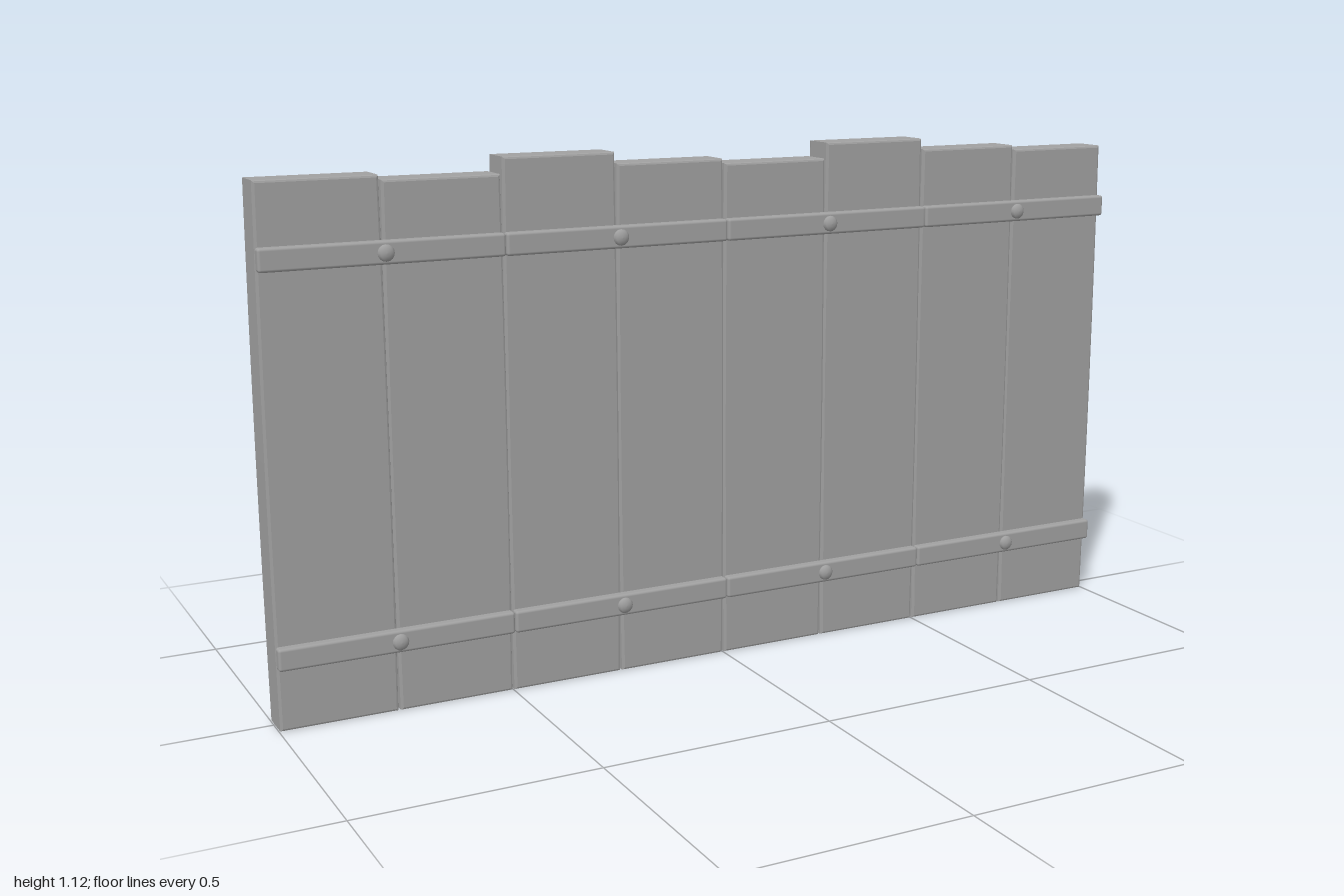
import * as THREE from 'three';
import { RoundedBoxGeometry } from 'three/addons/geometries/RoundedBoxGeometry.js';

const grey = new THREE.MeshStandardMaterial({ color: 0xa0a0a0 });
grey.name = 'plain grey';

export function createModel() {
  const group = new THREE.Group();
  group.name = 'plankPanel';

  const add = (name, geometry, x, y, z) => {
    const mesh = new THREE.Mesh(geometry, grey);
    mesh.name = name;
    mesh.position.set(x, y, z);
    group.add(mesh);
    return mesh;
  };
  // Box with softened edges, spanning z0 to z1
  const bar = (name, w, h, z0, z1, x, y, r = 0.004) =>
    add(name, new RoundedBoxGeometry(w, h, z1 - z0, 2, r), x, y, (z0 + z1) / 2);

  // Upright planks: slightly barrelled sides, so seams open towards the ends
  const bevel = 0.005;
  const plankGeometry = (height) => {
    const end = 0.1225 - bevel, bulge = 0.1285 - bevel;
    const top = height - bevel, mid = height / 2;
    const shape = new THREE.Shape();
    shape.moveTo(-end, bevel);
    shape.lineTo(end, bevel);
    shape.quadraticCurveTo(bulge, mid, end, top);
    shape.lineTo(-end, top);
    shape.quadraticCurveTo(-bulge, mid, -end, bevel);
    return new THREE.ExtrudeGeometry(shape, {
      depth: 0.077 - 2 * bevel, curveSegments: 8,
      bevelEnabled: true, bevelSize: bevel, bevelThickness: bevel, bevelSegments: 2,
    });
  };
  const heights = [1.096, 1.086, 1.12];
  for (let i = 0; i < 8; i++) {
    add('plank', plankGeometry(heights[i % 3]), -0.875 + i * 0.25, 0, -0.033 + bevel);
  }

  // Front rails in four lengths, each with a central rivet
  const rivetProfile = [[0, -0.01], [0.017, -0.01], [0.017, 0.003], [0.013, 0.007], [0.006, 0.0095], [0, 0.01]]
    .map(([r, h]) => new THREE.Vector2(r, h));
  const rivetGeometry = new THREE.LatheGeometry(rivetProfile, 16);
  for (const y of [0.155, 0.947]) {
    for (const x of [-0.75, -0.25, 0.25, 0.75]) {
      bar('frontRail', 0.498, 0.047, 0.04, 0.064, x, y, 0.006);
      add('rivet', rivetGeometry, x, y, 0.064).rotation.x = Math.PI / 2;
    }
  }

  // Crossed back braces, the outer one thicker than the inner
  const angle = 0.42;
  bar('innerBrace', 2.058, 0.077, -0.058, -0.03, 0, 0.565, 0.005).rotation.z = angle;
  bar('outerBrace', 2.058, 0.077, -0.074, -0.03, 0, 0.565, 0.005).rotation.z = -angle;

  // Lock plate with a raised slot and stud
  bar('lockPlate', 0.49, 0.19, -0.064, -0.045, 0, 0.807);
  bar('lockSlot', 0.03, 0.085, -0.069, -0.06, 0, 0.838, 0.003);
  add('lockStud', new THREE.CylinderGeometry(0.014, 0.014, 0.012, 16), 0, 0.76, -0.066).rotation.x = Math.PI / 2;

  return group;
}
